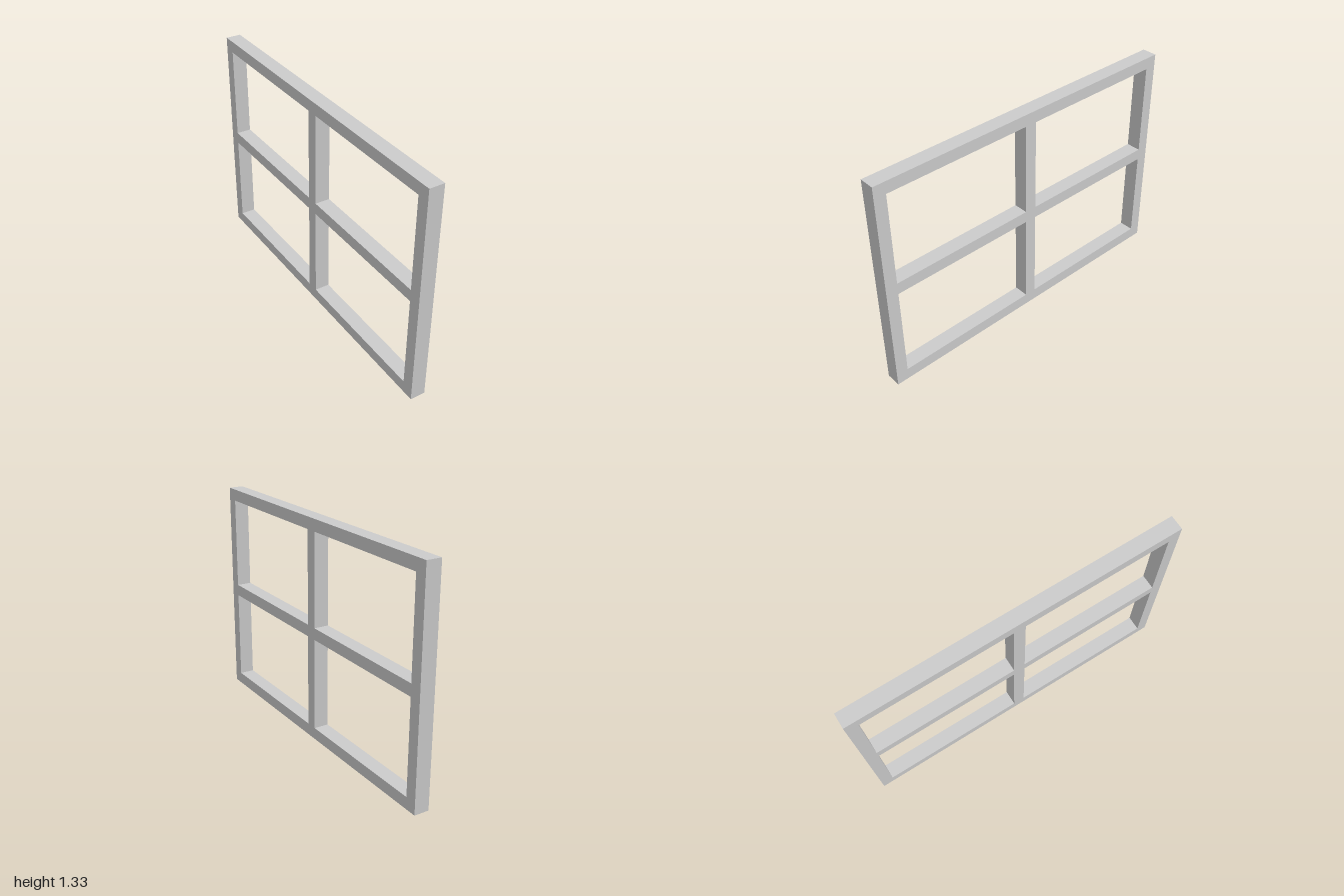
import * as THREE from 'three';

const LENGTH = 2, HEIGHT = 1.334, DEPTH = 0.09, BAR = 0.071;

// Adds a rectangle outline to a shape or path
function rect(path, x, y, w, h) {
  path.moveTo(x, y);
  path.lineTo(x + w, y);
  path.lineTo(x + w, y + h);
  path.lineTo(x, y + h);
  path.closePath();
  return path;
}

export function createModel() {
  const group = new THREE.Group();
  group.name = 'window';

  // Outer frame with its cross bars, cut by four equal panes
  const outline = rect(new THREE.Shape(), -LENGTH / 2, 0, LENGTH, HEIGHT);
  const paneW = (LENGTH - 3 * BAR) / 2;
  const paneH = (HEIGHT - 3 * BAR) / 2;
  for (let col = 0; col < 2; col++) {
    for (let row = 0; row < 2; row++) {
      const x = -LENGTH / 2 + BAR + col * (paneW + BAR);
      const y = BAR + row * (paneH + BAR);
      outline.holes.push(rect(new THREE.Path(), x, y, paneW, paneH));
    }
  }

  // Extrude the thickness, then turn the frame so its length runs along z
  const geometry = new THREE.ExtrudeGeometry(outline, { depth: DEPTH, bevelEnabled: false });
  geometry.translate(0, 0, -DEPTH / 2);
  geometry.rotateY(-Math.PI / 2);

  const frame = new THREE.Mesh(geometry, new THREE.MeshStandardMaterial({ color: 0xcccccc }));
  frame.name = 'windowFrame';
  group.add(frame);
  return group;
}
